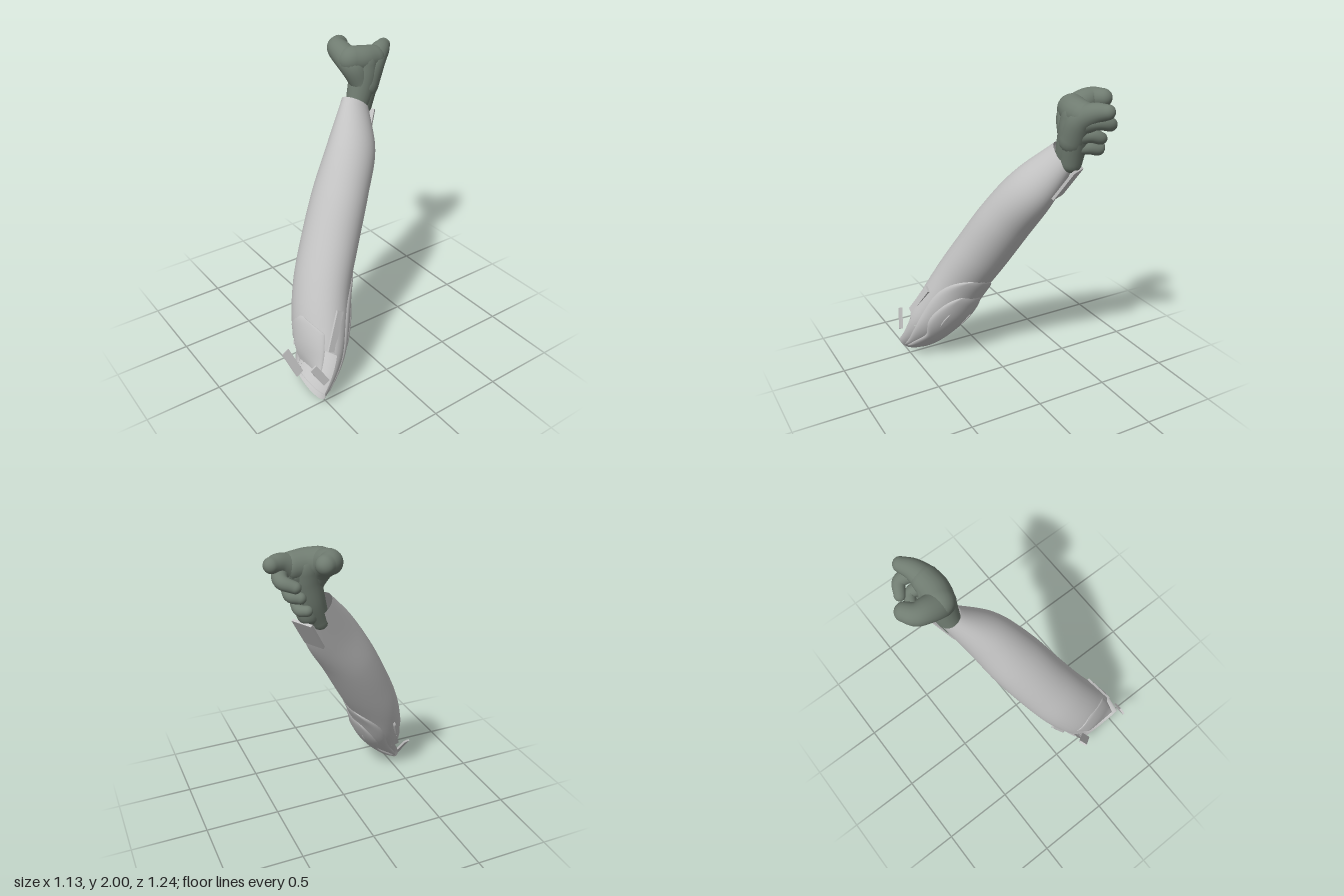
import * as THREE from 'three';
import { mergeVertices } from 'three/addons/utils/BufferGeometryUtils.js';

const V = (x, y, z) => new THREE.Vector3(x, y, z);

// Smooth grid surface from f(i, j), i in 0..n, j in 0..m
function grid(n, m, f) {
  const pos = [], idx = [];
  for (let i = 0; i <= n; i++) for (let j = 0; j <= m; j++) pos.push(...f(i, j).toArray());
  for (let i = 0; i < n; i++) for (let j = 0; j < m; j++) {
    const a = i * (m + 1) + j, c = a + m + 1;
    idx.push(a, a + 1, c, a + 1, c + 1, c);
  }
  let g = new THREE.BufferGeometry();
  g.setAttribute('position', new THREE.Float32BufferAttribute(pos, 3));
  g.setIndex(idx);
  g = mergeVertices(g, 1e-5);
  g.computeVertexNormals();
  return g;
}

// Forearm sections, wrist to elbow: x, front y, front z, back y, back z, half width
const SECTIONS = [
  [-0.27, 1.67, -0.20, 1.55, -0.37, 0.075],
  [-0.13, 1.46, -0.01, 1.30, -0.30, 0.15],
  [-0.03, 1.22, 0.16, 1.05, -0.15, 0.188],
  [0.07, 0.95, 0.32, 0.78, 0.005, 0.198],
  [0.16, 0.72, 0.44, 0.56, 0.135, 0.203],
  [0.25, 0.52, 0.515, 0.36, 0.225, 0.205],
  [0.325, 0.38, 0.54, 0.20, 0.335, 0.198],
  [0.38, 0.22, 0.545, 0.005, 0.53, 0.178],
];
const LAST = SECTIONS.length - 1;
const frontLine = new THREE.CatmullRomCurve3(SECTIONS.map(s => V(s[0], s[1], s[2])));
const backLine = new THREE.CatmullRomCurve3(SECTIONS.map(s => V(s[0], s[3], s[4])));
const widthLine = new THREE.CatmullRomCurve3(SECTIONS.map((s, i) => V(s[5], i, 0)));

// Point on the forearm: v runs down the sections, angle 0 = front, PI = back
function armPoint(v, angle, offset = 0) {
  const t = THREE.MathUtils.clamp(v / LAST, 0, 1);
  const F = frontLine.getPoint(t), B = backLine.getPoint(t), w = widthLine.getPoint(t).x;
  const u = F.clone().sub(B), r = u.length() / 2;
  u.normalize();
  const s = V(0.91, 0.3, -0.18 + 0.2 * t ** 3);
  s.addScaledVector(u, -s.dot(u)).normalize();
  return F.add(B).multiplyScalar(0.5)
    .addScaledVector(u, (r + offset) * Math.cos(angle))
    .addScaledVector(s, (w + offset) * Math.sin(angle));
}

// Raised patch following the forearm, sinking to the surface at its rim
function patch(v0, v1, center, half, height, base = -0.004, n = 36, m = 36) {
  return grid(n, m, (i, j) => {
    const t = i / n, k = j / m * 2 - 1;
    const edge = Math.max(Math.abs(k), Math.abs(2 * t - 1));
    return armPoint(v0 + (v1 - v0) * t, center + k * half(t),
      base + (height - base) * (1 - edge ** 12));
  });
}

// Tapered round-ended limb through [x, y, z, radius] points
function limb(pts) {
  const curve = new THREE.CatmullRomCurve3(pts.map(p => V(p[0], p[1], p[2])));
  const radii = new THREE.CatmullRomCurve3(pts.map((p, i) => V(p[3], i, 0)));
  const n = 24, cap = 6, frames = curve.computeFrenetFrames(n, false);
  return grid(n + 2 * cap, 20, (i, j) => {
    const k = THREE.MathUtils.clamp(i - cap, 0, n), q = (i - cap - k) / cap * Math.PI / 2;
    const R = radii.getPoint(curve.getUtoTmapping(k / n)).x, a = (j % 20) / 20 * Math.PI * 2;
    return curve.getPointAt(k / n)
      .addScaledVector(frames.tangents[k], R * Math.sin(q))
      .addScaledVector(frames.normals[k], R * Math.cos(q) * Math.cos(a))
      .addScaledVector(frames.binormals[k], R * Math.cos(q) * Math.sin(a));
  });
}

export function createModel() {
  const model = new THREE.Group();
  model.name = 'armouredForearm';
  const armour = new THREE.MeshStandardMaterial({ color: 0xc2c2c2, side: THREE.DoubleSide });
  armour.name = 'light grey armour';
  const glove = new THREE.MeshStandardMaterial({ color: 0x707c71 });
  glove.name = 'grey green glove';
  const add = (name, geo, mat = armour, parent = model) => {
    const mesh = new THREE.Mesh(geo, mat);
    mesh.name = name;
    parent.add(mesh);
    return mesh;
  };

  // Sleeve, open at both ends
  add('sleeve', grid(60, 40, (i, j) => armPoint(i / 60 * 6, (j % 40) / 40 * Math.PI * 2)));

  // Elbow cup, the back of the sleeve continued round the bend
  add('elbowCup', grid(16, 30, (i, j) => {
    const t = i / 16, k = j / 30 * 2 - 1;
    return armPoint(6 + t, Math.PI + k * (k > 0 ? 1.5 - 0.1 * t : 1.7));
  }));

  // Layered elbow pads with two slots
  const round = t => Math.sqrt(Math.max(0, 1 - (1 - Math.min(1, t * 2.2)) ** 2));
  add('outerElbowPad', patch(3.45, 6.95, Math.PI, t => 1.35 * round(t) * (1 - 0.2 * t * t), 0.013));
  add('innerElbowPad', patch(4.0, 6.9, Math.PI,
    t => round(t) * (0.95 - 0.3 * Math.exp(-(((t - 0.7) / 0.14) ** 2))), 0.025));
  for (const side of [-1, 1]) {
    add('padSlot', patch(4.75, 5.4, Math.PI + side * 0.4,
      t => 0.055 * Math.sin(Math.PI * t), 0.03, 0.023, 12, 8));
  }

  // Pointed plate over the front of the elbow, hanging below the sleeve
  add('frontPlate', patch(4.9, 6.9, 0.08, t => 0.95 * Math.min(1, t * 4) * (1 - 0.3 * t), 0.006));

  // Narrow strip on the right side of the elbow
  add('rightSideStrip', patch(4.45, 5.3, -1.35, () => 0.07, 0.014, -0.004, 12, 6));

  // Flat plates: centre, long direction, outward direction, size
  const plate = (name, c, along, out, size) => {
    const y = V(...along).normalize(), z = V(...out);
    z.addScaledVector(y, -z.dot(y)).normalize();
    const mesh = add(name, new THREE.BoxGeometry(...size));
    mesh.quaternion.setFromRotationMatrix(
      new THREE.Matrix4().makeBasis(y.clone().cross(z), y, z));
    mesh.position.set(...c);
  };
  plate('wristPlate', [-0.265, 1.44, -0.34], [-0.33, 0.83, -0.46], [-0.45, -0.4, -0.75], [0.14, 0.23, 0.018]);
  plate('leftSidePlate', [0.455, 0.48, 0.385], [-0.32, 0.83, -0.5], [1, 0.3, -0.1], [0.05, 0.26, 0.015]);
  plate('rightLowerPlate', [0.13, 0.27, 0.46], [-0.3, 0.6, -0.3], [-1, -0.3, 0.1], [0.06, 0.12, 0.012]);
  plate('leftClasp', [0.535, 0.27, 0.56], [-0.15, 0.6, 0.35], [1, 0.2, 0.1], [0.05, 0.15, 0.014]);
  plate('rightClasp', [0.21, 0.14, 0.56], [-0.5, 0.85, 0.3], [-0.9, -0.5, 0.3], [0.06, 0.18, 0.014]);

  // Gloved hand with thumb out, index forward and the other fingers curled
  const hand = new THREE.Group();
  hand.name = 'hand';
  model.add(hand);
  const parts = {
    palm: [[-0.27, 1.52, -0.27, 0.06], [-0.28, 1.65, -0.325, 0.085], [-0.285, 1.78, -0.36, 0.095], [-0.295, 1.87, -0.37, 0.095]],
    heel: [[-0.28, 1.58, -0.345, 0.07], [-0.28, 1.68, -0.365, 0.08], [-0.28, 1.78, -0.40, 0.08], [-0.29, 1.85, -0.43, 0.08]],
    thumbWeb: [[-0.315, 1.89, -0.285, 0.09], [-0.295, 1.885, -0.36, 0.09], [-0.295, 1.88, -0.44, 0.085]],
    thumb: [[-0.27, 1.74, -0.33, 0.07], [-0.31, 1.86, -0.285, 0.085], [-0.40, 1.915, -0.27, 0.078],
      [-0.47, 1.935, -0.28, 0.068], [-0.51, 1.94, -0.325, 0.058]],
    indexFinger: [[-0.27, 1.72, -0.37, 0.085], [-0.285, 1.85, -0.43, 0.085], [-0.32, 1.91, -0.52, 0.064], [-0.36, 1.925, -0.58, 0.046]],
    middleFinger: [[-0.29, 1.83, -0.43, 0.07], [-0.33, 1.86, -0.52, 0.05], [-0.41, 1.84, -0.54, 0.042], [-0.455, 1.815, -0.48, 0.034]],
    ringFinger: [[-0.285, 1.76, -0.40, 0.07], [-0.33, 1.77, -0.47, 0.047], [-0.39, 1.745, -0.485, 0.038], [-0.42, 1.735, -0.44, 0.034]],
    littleFinger: [[-0.28, 1.68, -0.38, 0.055], [-0.34, 1.68, -0.435, 0.038], [-0.41, 1.66, -0.44, 0.034], [-0.445, 1.665, -0.41, 0.031]],
  };
  for (const [name, pts] of Object.entries(parts)) add(name, limb(pts), glove, hand);

  return model;
}
